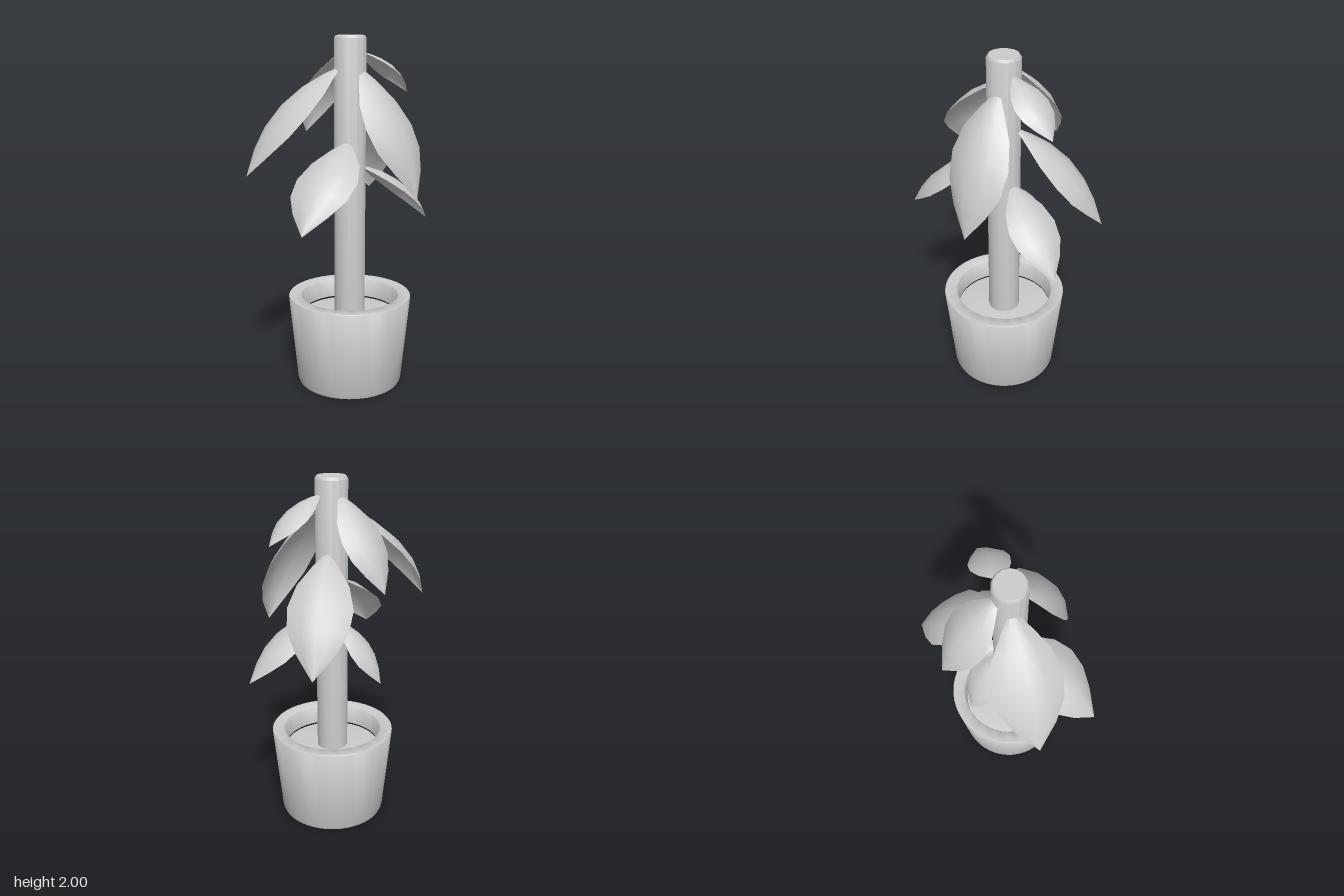
import * as THREE from 'three';
import { toCreasedNormals } from 'three/addons/utils/BufferGeometryUtils.js';

const CX = 0.045, CZ = 0.005; // stem and pot axis
const UP = new THREE.Vector3(0, 1, 0);

function lathe(points, segments, crease) {
  const profile = points.map(([r, y]) => new THREE.Vector2(r, y));
  return toCreasedNormals(new THREE.LatheGeometry(profile, segments).toNonIndexed(), crease);
}

// Half-width along the leaf, as [position, share of the full half-width]
const OUTLINE = [[0, 0.1], [0.1, 0.42], [0.25, 0.8], [0.45, 1], [0.65, 0.92], [0.82, 0.58], [1, 0]];
const ACROSS = [-1, -0.5, 0, 0.5, 1];

// Arched, cupped blade from base to tip; twist turns its width about the vertical
function leafGeometry(base, tip, halfWidth, twist) {
  const a = new THREE.Vector3(...base), b = new THREE.Vector3(...tip);
  const chord = b.clone().sub(a);
  const side = new THREE.Vector3().crossVectors(chord, UP).normalize().applyAxisAngle(UP, twist);
  const bulge = new THREE.Vector3().crossVectors(side, chord).normalize();
  const control = a.clone().lerp(b, 0.5).addScaledVector(bulge, chord.length() * 0.25);
  const spine = new THREE.QuadraticBezierCurve3(a, control, b);
  const positions = [], index = [], n = ACROSS.length;
  OUTLINE.forEach(([t, share], row) => {
    const p = spine.getPoint(t), w = halfWidth * share;
    const normal = new THREE.Vector3().crossVectors(side, spine.getTangent(t)).normalize();
    ACROSS.forEach((u, col) => {
      const v = p.clone().addScaledVector(side, w * u).addScaledVector(normal, -0.4 * w * u * u);
      positions.push(v.x, v.y, v.z);
      if (row < OUTLINE.length - 1 && col < n - 1) {
        const i = row * n + col;
        index.push(i, i + 1, i + n);
        if (row < OUTLINE.length - 2) index.push(i + 1, i + n + 1, i + n);
      }
    });
  });
  const geometry = new THREE.BufferGeometry();
  geometry.setAttribute('position', new THREE.Float32BufferAttribute(positions, 3));
  geometry.setIndex(index);
  geometry.computeVertexNormals();
  return geometry;
}

export function createModel() {
  const group = new THREE.Group();
  const grey = new THREE.MeshStandardMaterial({ color: 0xcccccc });
  const leafMaterial = new THREE.MeshStandardMaterial({ color: 0xcccccc, side: THREE.DoubleSide });
  const add = (name, geometry, material) => {
    const mesh = new THREE.Mesh(geometry, material);
    mesh.name = name;
    group.add(mesh);
    return mesh;
  };

  // Pot: recessed underside, tapered wall, flat rim, inner wall
  add('pot', lathe([
    [0, 0.03], [0.2, 0.03], [0.23, 0.02], [0.25, 0.003], [0.28, 0], [0.298, 0.004], [0.305, 0.02],
    [0.354, 0.525], [0.35, 0.53], [0.285, 0.53], [0.28, 0.525], [0.27, 0.42],
  ], 48, 0.8), grey).position.set(CX, 0, CZ);

  // Soil surface
  add('soil', lathe([[0.272, 0.41], [0.24, 0.415], [0, 0.42]], 48, 0.8), grey).position.set(CX, 0, CZ);

  // Stem with a small bevel at the top
  add('stem', lathe([[0.09, 0.38], [0.09, 1.985], [0.08, 2], [0, 2]], 14, 0.7), grey).position.set(CX, 0, CZ);

  // Leaves: base, tip, half-width, twist
  [
    [[-0.02, 1.83, 0.03], [-0.5, 1.27, 0.265], 0.185, 0],
    [[0.11, 1.82, 0.04], [0.41, 1.14, 0.215], 0.19, -0.2],
    [[0.03, 1.43, 0.07], [-0.19, 1.01, 0.53], 0.17, 0.15],
    [[0.07, 1.6, -0.07], [0.16, 1.06, -0.53], 0.175, 0],
    [[0, 1.91, -0.05], [-0.22, 1.44, -0.295], 0.145, 0],
    [[0.11, 1.91, -0.04], [0.37, 1.68, -0.225], 0.105, 0],
    [[0.1, 1.28, -0.04], [0.5, 0.93, -0.25], 0.14, 0],
    [[0, 1.21, -0.04], [-0.22, 0.88, -0.17], 0.11, 0],
  ].forEach((leaf, i) => add(`leaf${i + 1}`, leafGeometry(...leaf), leafMaterial));

  return group;
}
